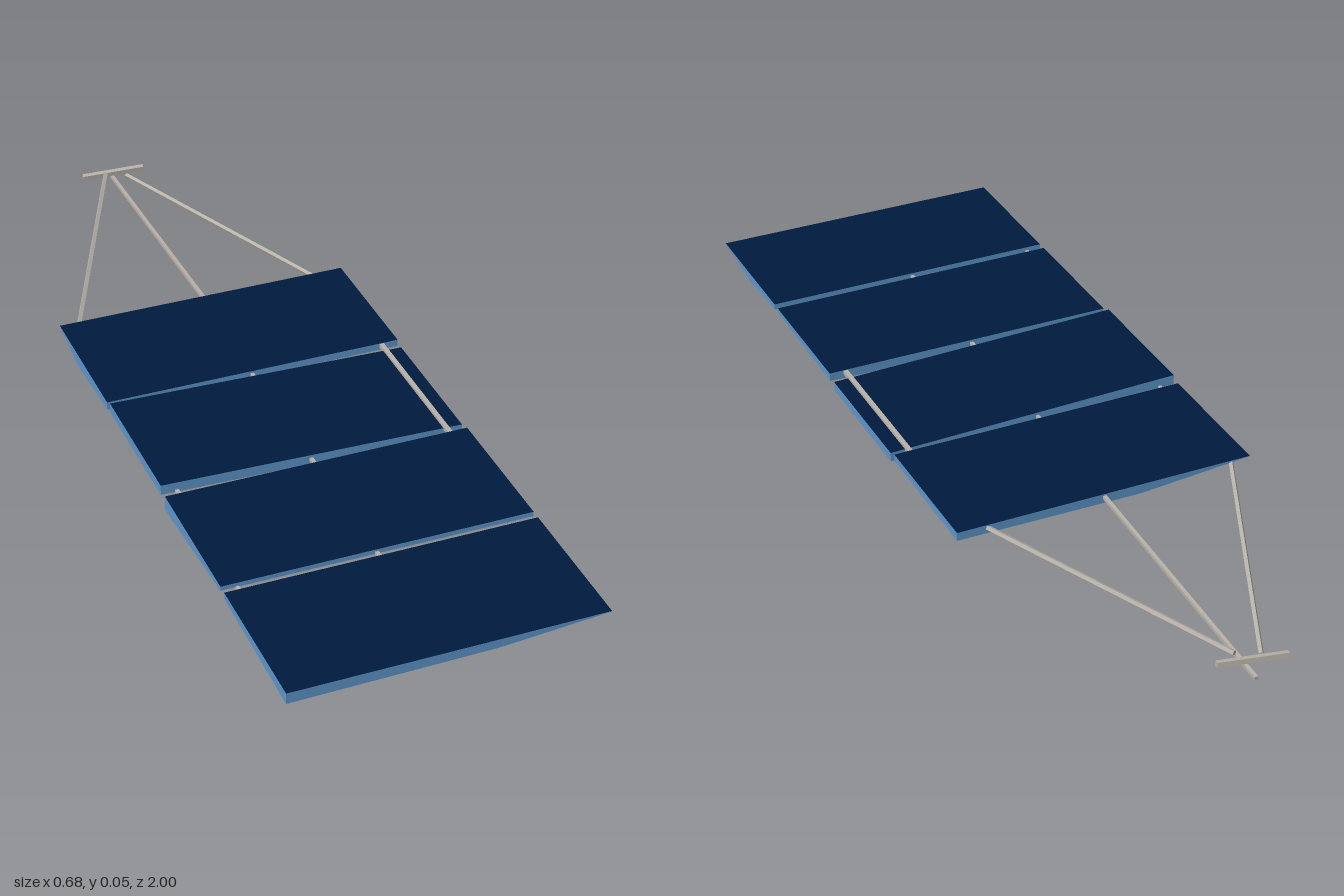
import * as THREE from 'three';

const cellMat = new THREE.MeshStandardMaterial({ color: 0x001a3e });
cellMat.name = 'navy cells';
const edgeMat = new THREE.MeshStandardMaterial({ color: 0x5e96cc });
edgeMat.name = 'blue edge';
const rodMat = new THREE.MeshStandardMaterial({ color: 0xb8b2aa });
rodMat.name = 'pale metal';

// Slab from a ring of [x, z, topY, bottomY], counter-clockwise seen from above.
// Top and underside are navy, the rim is blue.
function slab(name, ring) {
  const pos = [];
  const n = ring.length;
  const top = i => [ring[i][0], ring[i][2], ring[i][1]];
  const low = i => [ring[i][0], ring[i][3], ring[i][1]];
  const tri = (...pts) => pts.forEach(p => pos.push(...p));
  for (let i = 1; i < n - 1; i++) {
    tri(top(0), top(i), top(i + 1));
    tri(low(0), low(i + 1), low(i));
  }
  const faceCount = pos.length / 3;
  for (let i = 0; i < n; i++) {
    const j = (i + 1) % n;
    tri(low(i), low(j), top(j));
    tri(low(i), top(j), top(i));
  }
  const geo = new THREE.BufferGeometry();
  geo.setAttribute('position', new THREE.Float32BufferAttribute(pos, 3));
  geo.addGroup(0, faceCount, 0);
  geo.addGroup(faceCount, pos.length / 3 - faceCount, 1);
  geo.computeVertexNormals();
  const mesh = new THREE.Mesh(geo, [cellMat, edgeMat]);
  mesh.name = name;
  return mesh;
}

// Thin square bar between two points
function rod(name, a, b, size = 0.008) {
  const p = new THREE.Vector3(...a), q = new THREE.Vector3(...b);
  const dir = q.clone().sub(p);
  const mesh = new THREE.Mesh(new THREE.BoxGeometry(size, dir.length(), size), rodMat);
  mesh.position.copy(p).add(q).multiplyScalar(0.5);
  mesh.quaternion.setFromUnitVectors(new THREE.Vector3(0, 1, 0), dir.normalize());
  mesh.name = name;
  return mesh;
}

export function createModel() {
  const g = new THREE.Group();
  g.name = 'solarArray';
  const w = 0.338, t = 0.037;

  // Four panels; the end ones have one underside corner sliced away
  g.add(slab('frontPanel', [
    [0.1, 1, t, 0.017], [w, 1, t, 0.036], [w, 0.83, t, 0.015],
    [w, 0.675, t, 0.024], [-w, 0.675, t, 0.022], [-w, 1, t, 0.012],
  ]));
  g.add(slab('secondPanel', [
    [-w, 0.335, t, 0.003], [-w, 0.655, t, 0.027],
    [w, 0.655, t, 0.026], [w, 0.335, t, 0.018],
  ]));
  g.add(slab('thirdPanel', [
    [-w, -0.01, 0.047, 0.024], [-w, 0.31, 0.047, 0.024],
    [w, 0.31, 0.029, 0.008], [w, -0.01, 0.029, 0.008],
  ]));
  g.add(slab('backPanel', [
    [-0.08, -0.355, t, 0.015], [-w, -0.355, t, 0.036], [-w, -0.23, t, 0.008],
    [-w, -0.03, t, 0.018], [w, -0.03, t, 0.021], [w, -0.355, t, 0.018],
  ]));

  // Bars joining the panels
  g.add(rod('leftJoiningBar', [0.3, 0.031, -0.04], [0.3, 0.031, 0.345], 0.01));
  g.add(rod('middleJoiningBar', [-0.006, 0.028, -0.05], [-0.006, 0.028, 0.7]));
  g.add(rod('rightJoiningBar', [-0.303, 0.025, -0.05], [-0.303, 0.025, 0.7]));

  // Boom frame and its crossbar
  g.add(rod('leftBoom', [0.275, 0.03, -0.34], [0.022, 0.033, -0.945]));
  g.add(rod('rightBoom', [-0.3, 0.03, -0.34], [-0.022, 0.033, -0.97]));
  g.add(rod('middleBoom', [0.004, 0.03, -0.34], [0.004, 0.004, -1]));
  g.add(rod('crossbar', [-0.075, 0.026, -0.984], [0.072, 0.035, -0.964], 0.011));
  return g;
}
